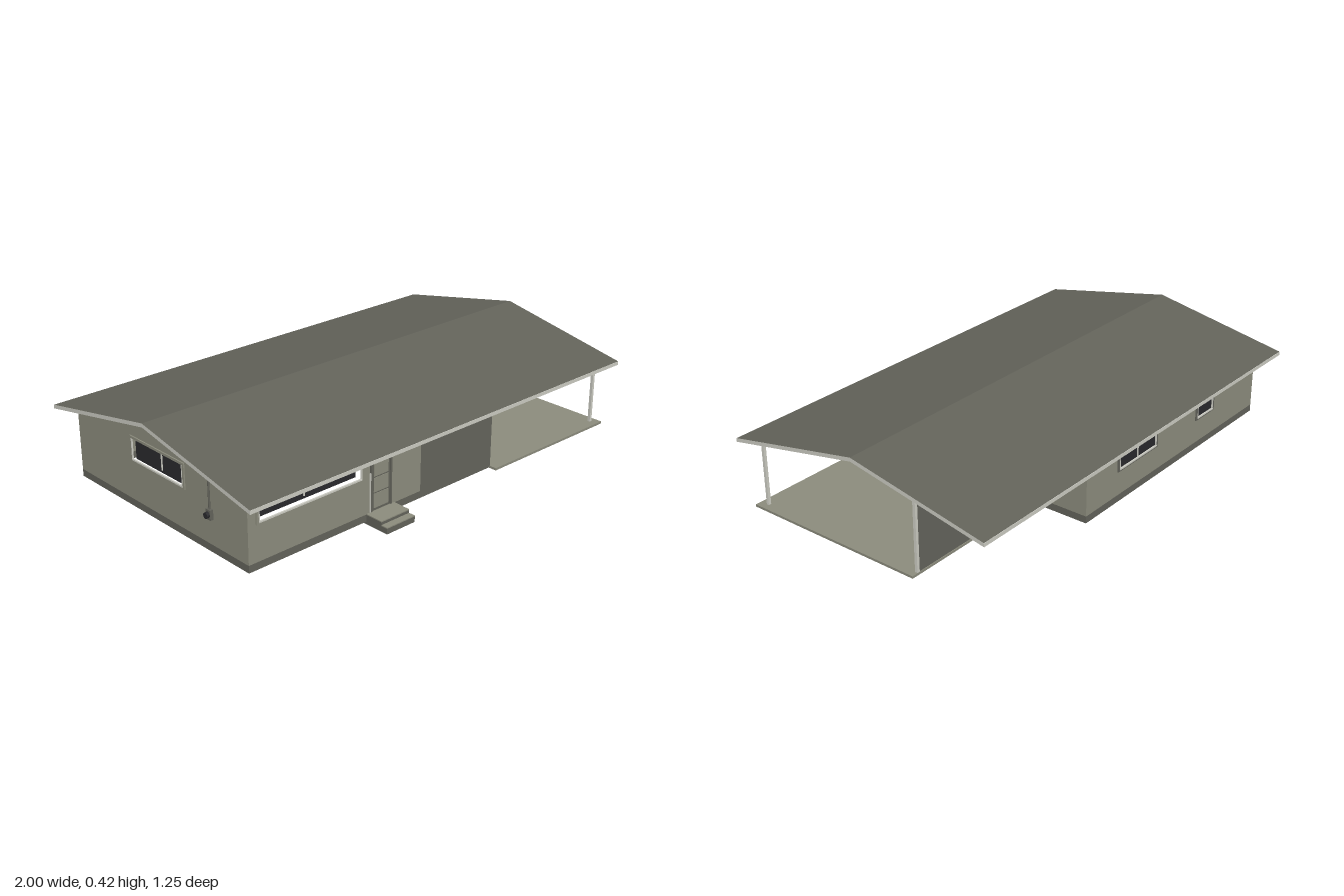
import * as THREE from 'three';

const mat = (name, color, side = THREE.FrontSide) => {
  const m = new THREE.MeshStandardMaterial({ color, side });
  m.name = name;
  return m;
};

// Roof cross-section constants
const RIDGE_Z = -0.015, RIDGE_Y = 0.42, EAVE_Y = 0.303, THICK = 0.016;
const FRONT = 0.515, BACK = -0.53, LEFT_X = -0.95, RIGHT_X = 0.29;
const under = z => RIDGE_Y - THICK - Math.abs(z - RIDGE_Z) * 0.192;

export function createModel() {
  const house = new THREE.Group();
  house.name = 'house';
  const M = {
    wall: mat('wall siding', 0x8b8b7c, THREE.DoubleSide),
    stone: mat('stone cladding', 0x63635b, THREE.DoubleSide),
    base: mat('foundation', 0x62625a, THREE.DoubleSide),
    roof: mat('roof', 0x626259),
    trim: mat('trim', 0xcacac1),
    glass: mat('glass', 0x29292c),
  };

  const add = (geo, material, name, parent = house) => {
    const mesh = new THREE.Mesh(geo, material);
    mesh.name = name;
    parent.add(mesh);
    return mesh;
  };
  // Box given by its min and max corners
  const box = (name, material, [x0, y0, z0], [x1, y1, z1], parent) => {
    const mesh = add(new THREE.BoxGeometry(x1 - x0, y1 - y0, z1 - z0), material, name, parent);
    mesh.position.set((x0 + x1) / 2, (y0 + y1) / 2, (z0 + z1) / 2);
    return mesh;
  };
  const rect = ([a, y0, b, y1]) => [[a, y0], [b, y0], [b, y1], [a, y1]];
  const toPoints = pts => pts.map(p => new THREE.Vector2(...p));
  // Flat sheet with rectangular openings
  const sheet = (pts, holes = []) => {
    const s = new THREE.Shape(toPoints(pts));
    holes.forEach(h => s.holes.push(new THREE.Path(toPoints(rect(h)))));
    return new THREE.ShapeGeometry(s);
  };
  const alongX = (name, material, z, pts, holes) =>
    add(sheet(pts, holes).translate(0, 0, z), material, name);
  const alongZ = (name, material, x, pts, holes) =>
    add(sheet(pts, holes).rotateY(-Math.PI / 2).translate(x, 0, 0), material, name);

  // Openings: [from, bottom, to, top]
  const frontWindow = [-0.905, 0.197, -0.42, 0.294];
  const doorway = [-0.37, 0.045, -0.27, 0.255];
  const backLarge = [-0.175, 0.155, 0.08, 0.26];
  const backSmall = [-0.605, 0.155, -0.485, 0.26];
  const sideWindow = [-0.16, 0.215, 0.155, 0.3];

  // Walls
  const top = 0.04, low = 0.01, split = -0.108;
  const gable = [[BACK, top], [FRONT, top], [FRONT, under(FRONT)], [RIDGE_Z, under(RIDGE_Z)], [BACK, under(BACK)]];
  alongX('frontWall', M.wall, FRONT, rect([LEFT_X, top, split, under(FRONT)]), [frontWindow, doorway]);
  alongX('backWall', M.wall, BACK, rect([LEFT_X, top, RIGHT_X, under(BACK)]), [backLarge, backSmall]);
  alongZ('gableWall', M.wall, LEFT_X, gable, [sideWindow]);
  alongZ('carportSideWall', M.wall, RIGHT_X, gable);

  // Foundation band
  alongX('frontFoundation', M.base, FRONT, rect([LEFT_X, low, split, top]));
  alongX('backFoundation', M.base, BACK, rect([LEFT_X, low, RIGHT_X, top]));
  for (const x of [LEFT_X, RIGHT_X]) alongZ('sideFoundation', M.base, x, rect([BACK, low, FRONT, top]));

  // Darker cladding around the carport corner, and the carport's rear screen
  alongX('frontCladding', M.stone, FRONT, rect([split, low, RIGHT_X + 0.004, under(FRONT)]));
  alongZ('sideCladding', M.stone, RIGHT_X + 0.004,
    [[0.14, low], [FRONT, low], [FRONT, under(FRONT)], [0.397, 0.325], [0.14, 0.325]]);
  box('carportScreen', M.stone, [RIGHT_X, 0.018, -0.267], [0.936, 0.312, -0.259]);

  // Carport slab and posts
  box('carportSlab', M.wall, [RIGHT_X, 0.008, -0.27], [0.975, 0.018, 0.55]);
  box('carportPost', M.trim, [0.936, 0.018, 0.506], [0.948, under(0.518), 0.518]);
  box('carportPost', M.trim, [0.936, 0.018, -0.269], [0.948, 0.312, -0.257]);

  // Gable roof with pale verge ends, soffits and eave boards
  const eaves = [0.593, -0.622];
  const roofLayer = (name, t0, t1, materials) => {
    const profile = new THREE.Shape(toPoints([
      [eaves[1], EAVE_Y - t1], [RIDGE_Z, RIDGE_Y - t1], [eaves[0], EAVE_Y - t1],
      [eaves[0], EAVE_Y - t0], [RIDGE_Z, RIDGE_Y - t0], [eaves[1], EAVE_Y - t0],
    ]));
    const geo = new THREE.ExtrudeGeometry(profile, { depth: 2, bevelEnabled: false });
    add(geo.rotateY(-Math.PI / 2).translate(1, 0, 0), materials, name);
  };
  roofLayer('roof', 0, 0.002, [M.trim, M.roof]);
  roofLayer('soffit', 0.002, THICK, M.trim);
  for (const z of eaves)
    box('eaveBoard', M.trim, [-1, EAVE_Y - THICK, z - 0.002], [1, EAVE_Y - 0.001, z + 0.002]);

  // Window facing local +z: casing outside, pale liner, glass set back by a recess
  const addWindow = (name, [a, y0, b, y1], panes, casing, recess, place) => {
    const g = new THREE.Group();
    g.name = name;
    const w = (b - a) / 2, h = (y1 - y0) / 2, f = 0.01, m = 0.012;
    box('glass', M.glass, [-w - m, -h - m, -recess - 0.006], [w + m, h + m, -recess - 0.001], g);
    for (const s of [-1, 1]) {
      const x = s * (w + f / 2), y = s * (h + f / 2), lx = s * (w - 0.002);
      box('casingSide', casing, [x - f / 2, -h - f, 0.001], [x + f / 2, h + f, 0.006], g);
      box('casingRail', casing, [-w, y - f / 2, 0.001], [w, y + f / 2, 0.006], g);
      box('liner', M.trim, [lx - 0.002, -h, 0.001], [lx + 0.002, h, 0.007], g);
    }
    box('sill', M.trim, [-w, -h - 0.004, 0.001], [w, -h + 0.002, 0.008], g);
    for (let i = 1; i < panes; i++) {
      const x = -w + 2 * w * i / panes;
      box('mullion', M.trim, [x - 0.0025, -h, -recess], [x + 0.0025, h, -recess + 0.004], g);
    }
    place(g, (a + b) / 2, (y0 + y1) / 2);
    house.add(g);
  };
  const onBack = (g, u, y) => { g.position.set(u, y, BACK); g.rotation.y = Math.PI; };
  addWindow('frontWindow', frontWindow, 2, M.wall, 0.04, (g, u, y) => g.position.set(u, y, FRONT));
  addWindow('backLargeWindow', backLarge, 2, M.base, 0, onBack);
  addWindow('backSmallWindow', backSmall, 1, M.base, 0, onBack);
  addWindow('gableWindow', sideWindow, 2, M.wall, 0.02, (g, u, y) => {
    g.position.set(LEFT_X, y, u);
    g.rotation.y = -Math.PI / 2;
  });

  // Front door with three pale panels and a surround
  const [dx0, dy0, dx1, dy1] = doorway;
  box('door', M.base, [dx0, dy0, FRONT - 0.004], [dx1, dy1, FRONT + 0.002]);
  for (const [y0, y1] of [[0.055, 0.114], [0.12, 0.179], [0.185, 0.244]])
    box('doorPanel', M.wall, [dx0 + 0.013, y0, FRONT - 0.006], [dx1 - 0.013, y1, FRONT + 0.004]);
  for (const x of [dx0, dx1])
    box('doorFrame', M.base, [x - 0.004, dy0, FRONT - 0.004], [x + 0.004, dy1, FRONT + 0.006]);
  box('doorFrame', M.base, [dx0 - 0.004, dy1, FRONT - 0.004], [dx1 + 0.004, dy1 + 0.007, FRONT + 0.006]);
  box('doorEdge', M.trim, [dx0 - 0.008, dy0, FRONT + 0.001], [dx0 - 0.004, dy1 - 0.05, FRONT + 0.006]);

  // Front steps with pale treads
  for (const [z0, z1, h] of [[0.5, 0.595, 0.042], [0.595, 0.625, 0.027]]) {
    box('step', M.base, [-0.392, 0, z0], [-0.248, h - 0.004, z1]);
    box('tread', M.wall, [-0.392, h - 0.004, z0], [-0.248, h, z1]);
  }

  // Utility meter and conduit on the gable wall
  const conduit = add(new THREE.CylinderGeometry(0.004, 0.004, 0.15, 8), M.base, 'conduit');
  conduit.position.set(LEFT_X - 0.006, 0.255, 0.31);
  box('meterBox', M.base, [LEFT_X - 0.014, 0.145, 0.297], [LEFT_X, 0.185, 0.323]);
  const dial = add(new THREE.CylinderGeometry(0.012, 0.012, 0.012, 12).rotateZ(Math.PI / 2), M.glass, 'meterDial');
  dial.position.set(LEFT_X - 0.02, 0.165, 0.31);

  return house;
}
